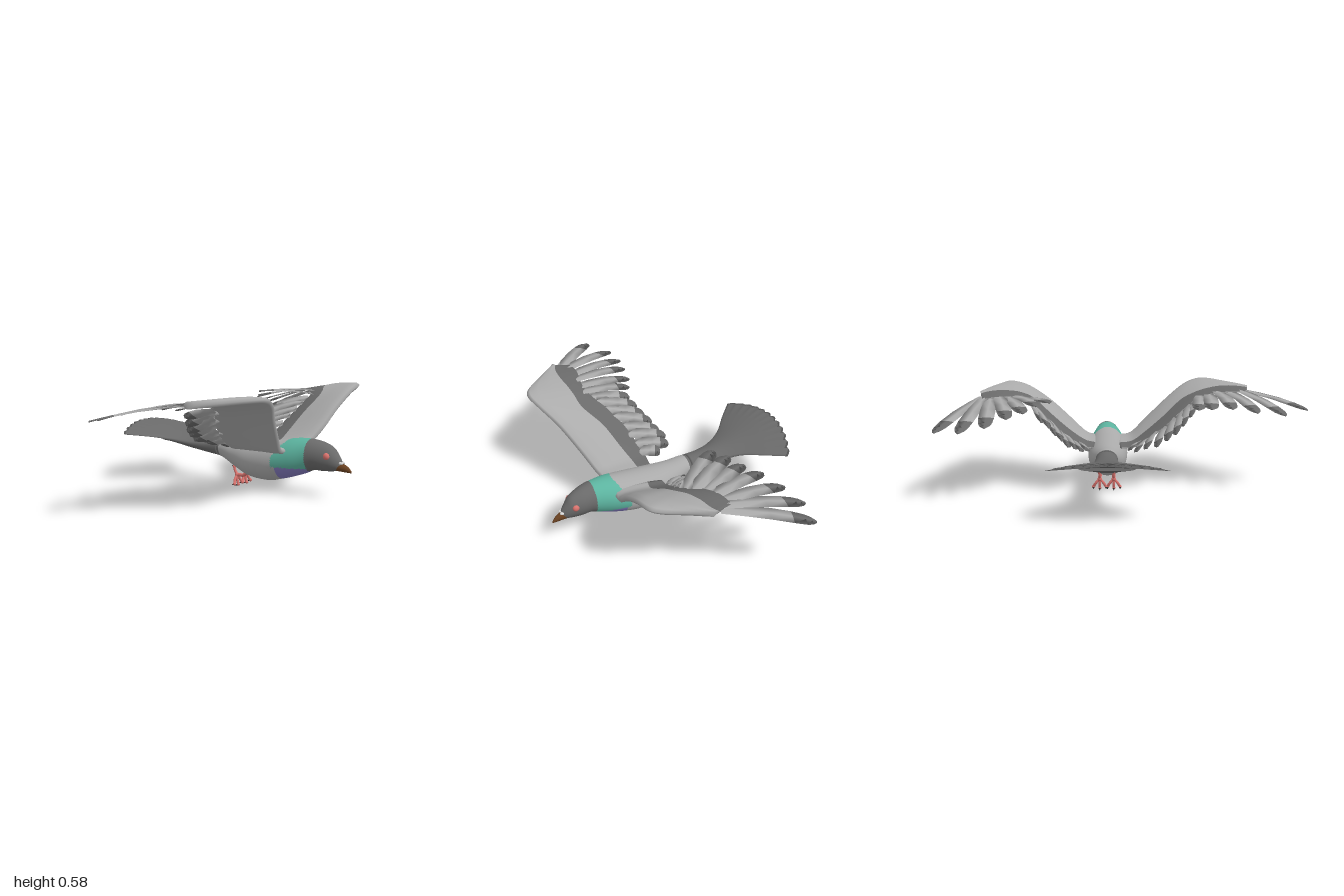
import * as THREE from 'three';

const material = (name, color) => {
  const m = new THREE.MeshStandardMaterial({ color });
  m.name = name;
  return m;
};
const V = (x, y, z) => new THREE.Vector3(x, y, z);

// Smoothly resample a table of rows to n + 1 rows.
function smooth(rows, n) {
  const size = rows[0].length;
  const times = Float32Array.from(rows, (_, i) => i);
  const curve = new THREE.CubicInterpolant(times, new Float32Array(rows.flat()), size);
  return Array.from({ length: n + 1 }, (_, i) => Array.from(curve.evaluate(i / n * (rows.length - 1))));
}

// Capped skin over closed rings; pick(i, j, centre) chooses the material index of a face.
function loft(name, rings, mats, pick = () => 0) {
  const n = rings[0].length, pts = rings.flat(), tris = [];
  const add = (a, b, c, i, j) => tris.push([a, b, c, pick(i, j, V(0, 0, 0).add(pts[a]).add(pts[b]).add(pts[c]).divideScalar(3))]);
  for (let i = 0; i < rings.length - 1; i++) for (let j = 0; j < n; j++) {
    const k = (j + 1) % n, a = i * n + j, b = i * n + k;
    add(a, b, a + n, i, j);
    add(b, b + n, a + n, i, j);
  }
  for (const i of [0, rings.length - 1]) {
    const c = pts.length;
    pts.push(rings[i].reduce((s, p) => s.add(p), V(0, 0, 0)).divideScalar(n));
    for (let j = 0; j < n; j++) {
      const a = i * n + j, b = i * n + (j + 1) % n;
      i ? add(a, b, c, i, j) : add(b, a, c, i, j);
    }
  }
  // Turn the faces outward
  const mid = pts[pts.length - 1];
  const rel = (i) => pts[i].clone().sub(mid);
  const volume = tris.reduce((s, t) => s + rel(t[0]).dot(rel(t[1]).cross(rel(t[2]))), 0);
  const index = [], g = new THREE.BufferGeometry().setFromPoints(pts);
  mats.forEach((_, m) => {
    const start = index.length;
    for (const t of tris) if (t[3] === m) index.push(...(volume < 0 ? [t[0], t[2], t[1]] : t.slice(0, 3)));
    if (index.length > start) g.addGroup(start, index.length - start, m);
  });
  g.setIndex(index);
  g.computeVertexNormals();
  const mesh = new THREE.Mesh(g, mats);
  mesh.name = name;
  return mesh;
}

// Elliptical rings from rows of [z, centre x, top, bottom, half width].
const ovals = (rows, steps, sides) => smooth(rows, steps).map(([z, cx, top, bot, w]) =>
  Array.from({ length: sides }, (_, j) => {
    const a = j / sides * Math.PI * 2;
    return V(cx + w * Math.cos(a), (top + bot) / 2 + (top - bot) / 2 * Math.sin(a), z);
  }));

export function createModel() {
  const bird = new THREE.Group();
  bird.name = 'bird';
  const light = material('light grey plumage', 0xaaaaaa);
  const dark = material('dark grey plumage', 0x6a6a6a);
  const teal = material('neck green', 0x5cb39f);
  const purple = material('breast purple', 0x8279bc);
  const pink = material('pink skin', 0xd9736e);
  const brown = material('beak brown', 0x6a4222);
  const black = material('claw black', 0x2c2c2c);
  const white = material('cere white', 0xd8d8d8);

  // Body and head
  const bodyRows = [
    [.655, .13, .215, .165, .016], [.63, .13, .25, .16, .034], [.6, .128, .285, .155, .049],
    [.55, .125, .307, .152, .064], [.5, .12, .317, .152, .073], [.45, .118, .32, .13, .083],
    [.38, .115, .315, .105, .1], [.3, .112, .3, .082, .112], [.22, .11, .288, .066, .115],
    [.1, .11, .275, .075, .105], [0, .11, .27, .115, .082], [-.08, .108, .275, .155, .064],
    [-.12, .108, .272, .17, .06]];
  bird.add(loft('body', ovals(bodyRows, 110, 56), [light, dark, teal, purple], (i, j, p) => {
    if (p.z < -.105) return 1;
    if (p.z > .475) return 1;
    if (p.y > .16) return p.z > .29 + Math.max(0, p.y - .22) * .7 ? 2 : 0;
    return p.z > .31 ? 3 : 0;
  }));

  // Beak, cere and eyes
  const beakRows = [[.63, .13, .212, .16, .026], [.66, .131, .202, .158, .02],
    [.69, .133, .187, .156, .012], [.71, .135, .166, .155, .003]];
  bird.add(loft('beak', ovals(beakRows, 10, 16), [brown]));
  const ball = (name, mat, x, y, z, r, sx = 1, sy = 1, sz = 1) => {
    const m = new THREE.Mesh(new THREE.SphereGeometry(r, 18, 12), mat);
    m.name = name;
    m.position.set(x, y, z);
    m.scale.set(sx, sy, sz);
    bird.add(m);
  };
  for (const s of [-1, 1]) {
    ball('cere', white, .13 + s * .011, .203, .653, .012, .8, .7, 1.2);
    ball('eye', pink, .128 + s * .046, .238, .588, .019, .8);
  }

  // Tail fan: rows of [centre x, top, bottom, half width, edge drop]
  const tailRows = [[.108, .272, .17, .06, 0], [.106, .267, .189, .066, .003], [.102, .275, .215, .085, .01],
    [.098, .298, .256, .13, .022], [.094, .324, .304, .22, .04], [.09, .349, .341, .305, .058]];
  const cols = 72, steps = 50, covert = 33;
  const tailRings = smooth(tailRows, steps).map(([cx, top, bot, w, drop], i) => {
    const v = i / steps;
    const at = (u, sgn) => {
      const scallop = Math.abs(Math.sin((u + 1) * Math.PI * 6)) * .016;
      const end = -.692 + .095 * u * u - scallop * Math.max(0, v - .8) * 5;
      const h = (top - bot) / 2 * Math.sqrt(Math.max(0, 1 - u * u));
      // The undertail coverts stop at a step
      const pad = sgn < 0 && i <= covert ? .018 * v * (1 - u ** 8) : 0;
      return V(cx + u * w, (top + bot) / 2 - drop * u * u + sgn * h - pad, -.12 + v * (end + .12));
    };
    const us = Array.from({ length: cols + 1 }, (_, k) => -1 + 2 * k / cols);
    return [...us.map((u) => at(u, 1)), ...us.slice(1, -1).reverse().map((u) => at(u, -1))];
  });
  bird.add(loft('tail', tailRings, [dark, light], (i, j) =>
    j > cols + 3 && j < 2 * cols - 3 && i >= covert && i < covert + 2 ? 1 : 0));

  // One feather from root to tip with a dark end
  const outline = [[0, .8], [.2, .9], [.5, 1], [.74, 1], [.88, .88], [.95, .65], [1, .2]];
  const feather = (name, root, tip, half, up) => {
    const dir = tip.clone().sub(root);
    const side = dir.clone().cross(up).normalize();
    const normal = side.clone().cross(dir).normalize();
    const rings = outline.map(([s, w]) => {
      const c = root.clone().addScaledVector(dir, s).addScaledVector(normal, .012 * Math.sin(s * Math.PI));
      const p = (a, b) => c.clone().addScaledVector(side, a * half * w).addScaledVector(normal, b * .004);
      return [p(-1, 0), p(0, 1), p(1, 0), p(0, -1)];
    });
    return loft(name, rings, [light, dark], (i) => (i >= 3 ? 1 : 0));
  };

  // Wing: stations of [leading edge xyz, trailing edge xyz, start of dark bar]
  const topH = [0, .014, .022, .02, .014, .009, .003];
  const lowH = [0, -.014, -.014, -.009, -.006, -.004, -.003];
  function wing(name, out, stations, primaries, nPrim, secondaries, nSec) {
    const g = new THREE.Group();
    g.name = name;
    const rows = smooth(stations, 40);
    const rings = rows.map(([a, b, c, d, e, f, bar], i) => {
      const L = V(a, b, c), C = V(d, e, f);
      const q = rows[Math.max(0, i - 1)], r = rows[Math.min(40, i + 1)];
      const span = V(r[0] - q[0] + r[3] - q[3], r[1] - q[1] + r[4] - q[4], r[2] - q[2] + r[5] - q[5]);
      const n = span.cross(C.clone().sub(L)).normalize();
      if (n.y < 0) n.negate();
      const us = [0, .06 * bar, .25 * bar, .6 * bar, bar, (1 + bar) / 2, 1];
      const at = (k, h) => L.clone().lerp(C, us[k]).addScaledVector(n, h[k]);
      return [...us.map((_, k) => at(k, topH)), ...[6, 5, 4, 3, 2, 1].map((k) => at(k, lowH))];
    });
    g.add(loft('wing arm', rings, [light, dark], (i, j) => (j === 4 || j === 5 ? 1 : 0)));
    const fan = (label, list, count, half, up) => smooth(list, count - 1).forEach((f, i) => {
      const lift = (i % 2) * .006;
      g.add(feather(label, V(f[0], f[1] + lift, f[2]), V(f[3], f[4] + lift, f[5]), half, up));
    });
    fan('primary feather', primaries, nPrim, .042, V(0, 1, 0));
    fan('secondary feather', secondaries, nSec, .034, V(-out * .6, .8, 0));
    bird.add(g);
  }

  wing('right wing', -1, [
    [.06, .25, .37, .04, .24, .08, .72], [-.03, .265, .385, -.04, .25, .07, .7], [-.12, .345, .425, -.12, .29, .08, .67],
    [-.25, .46, .49, -.22, .36, .11, .66], [-.36, .54, .555, -.32, .44, .17, .62], [-.45, .572, .582, -.41, .5, .23, .72],
    [-.53, .572, .54, -.5, .53, .24, .67], [-.62, .56, .44, -.6, .545, .22, .45], [-.72, .548, .33, -.69, .545, .22, .2],
  ], [
    [-.685, .545, .29, -1, .48, -.02], [-.66, .545, .26, -.86, .46, -.115], [-.6, .543, .25, -.71, .48, -.11],
    [-.54, .535, .26, -.58, .49, -.08], [-.49, .525, .26, -.47, .49, -.055], [-.44, .51, .26, -.4, .475, -.02],
  ], 6, [
    [-.4, .49, .24, -.36, .44, 0], [-.36, .465, .2, -.31, .38, -.03], [-.31, .43, .17, -.26, .34, -.06],
    [-.25, .38, .13, -.2, .3, -.085], [-.19, .34, .11, -.13, .28, -.1], [-.13, .3, .09, -.065, .265, -.1],
    [-.07, .265, .09, -.025, .25, -.02],
  ], 8);

  wing('left wing', 1, [
    [.17, .25, .37, .19, .24, .09, .7], [.25, .27, .385, .25, .25, .09, .66], [.35, .355, .42, .34, .3, .09, .66],
    [.47, .46, .44, .44, .38, .12, .67], [.6, .543, .455, .53, .47, .17, .68], [.7, .572, .448, .59, .51, .18, .74],
    [.745, .567, .4, .66, .53, .12, .66], [.79, .555, .3, .73, .535, .08, .5], [.84, .535, .18, .81, .525, .06, .2],
  ], [
    [.815, .53, .13, 1, .41, -.3], [.79, .53, .11, .84, .41, -.335], [.75, .533, .11, .69, .45, -.28],
    [.7, .53, .14, .58, .48, -.205], [.65, .525, .17, .5, .51, -.14], [.61, .51, .2, .42, .53, -.08],
  ], 7, [
    [.56, .49, .18, .47, .42, -.06], [.5, .44, .15, .4, .36, -.08], [.42, .37, .12, .34, .3, -.09],
    [.33, .3, .09, .28, .27, -.09], [.26, .26, .09, .23, .25, -.03],
  ], 8);

  // Feet: shank, three hanging toes and a raised hind toe, each with a claw
  const tube = (name, mat, pts, r) => {
    const m = new THREE.Mesh(new THREE.TubeGeometry(new THREE.CatmullRomCurve3(pts), 10, r, 8), mat);
    m.name = name;
    bird.add(m);
  };
  for (const x of [.072, .152]) {
    tube('shank', pink, [V(x, .1, .09), V(x, .08, .06), V(x, .078, .015)], .01);
    ball('ankle', pink, x, .077, .015, .013);
    const toe = (dx, y, z, cy, cz) => {
      const tip = V(x + dx, y, z);
      tube('toe', pink, [V(x, .078, .015), V(x + dx * .6, (y + .078) / 2, (z + .015) / 2 - .004), tip], .0075);
      ball('toe pad', pink, tip.x, tip.y, tip.z, .009);
      const claw = new THREE.Mesh(new THREE.ConeGeometry(.006, .022, 8), black);
      claw.name = 'claw';
      claw.position.set(tip.x, y + cy * .6, z + cz * .6);
      claw.quaternion.setFromUnitVectors(V(0, 1, 0), V(0, cy, cz).normalize());
      bird.add(claw);
    };
    for (const dx of [-.036, 0, .036]) toe(dx, .022 + Math.abs(dx) * .2, .024, -.01, -.022);
    toe(0, .122, -.006, .006, -.018);
  }
  return bird;
}
